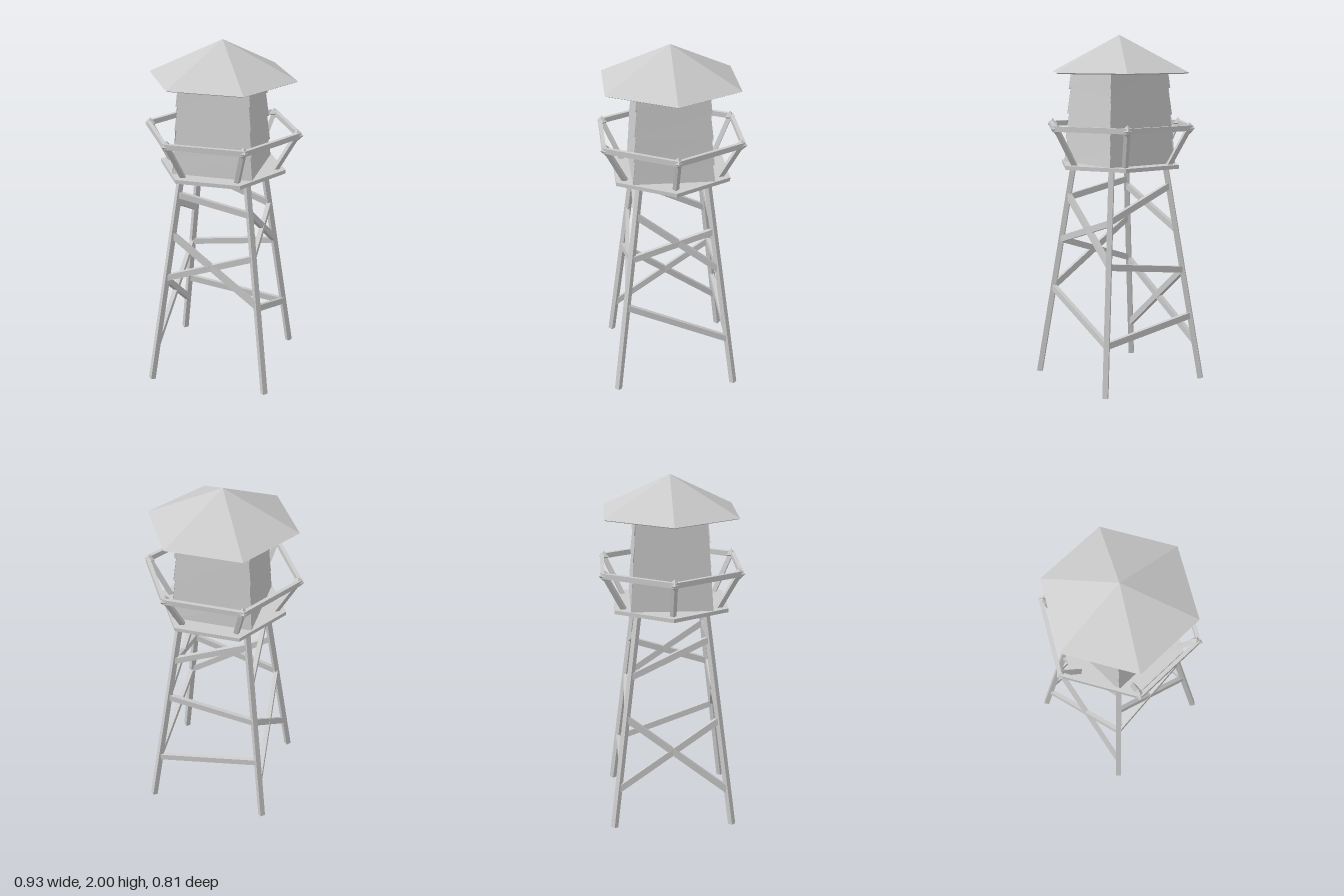
import * as THREE from 'three';

const material = new THREE.MeshStandardMaterial({ color: 0xcccccc, flatShading: true });
const V = (x, y, z) => new THREE.Vector3(x, y, z);

function add(parent, geometry, name) {
  const mesh = new THREE.Mesh(geometry, material);
  mesh.name = name;
  parent.add(mesh);
  return mesh;
}

// Square beam from a to b, with one side turned towards "out"
function beam(parent, a, b, w, h, out, name) {
  const dir = b.clone().sub(a);
  const geo = new THREE.BoxGeometry(w, h, dir.length());
  dir.normalize();
  const side = out.clone().addScaledVector(dir, -out.dot(dir)).normalize();
  const up = dir.clone().cross(side);
  geo.applyMatrix4(new THREE.Matrix4().makeBasis(side, up, dir));
  const mid = a.clone().add(b).multiplyScalar(0.5);
  return add(parent, geo.translate(mid.x, mid.y, mid.z), name);
}

// Distance of the leg centres from the axis at height y
const legAt = (y) => 0.342 - 0.121 * y;
// Half width of the tapering cabin at height y
const cabinAt = (y) => 0.226 - 0.05 * (y - 1.26);

// Board with slanted edges; lo and hi hold the left and right edge heights
function board(parent, lo, hi, name) {
  const geo = new THREE.BoxGeometry(2, 1, 1);
  const p = geo.attributes.position;
  for (let i = 0; i < p.count; i++) {
    const right = p.getX(i) > 0 ? 1 : 0;
    const top = p.getY(i) > 0;
    const y = (top ? hi : lo)[right];
    const half = cabinAt(y) + (top ? -0.004 : 0.004);
    const z = p.getZ(i) > 0 ? half : half - 0.03;
    p.setXYZ(i, p.getX(i) * (z + 0.001), y, z);
  }
  geo.computeVertexNormals();
  return add(parent, geo, name);
}

export function createModel() {
  const tower = new THREE.Group();
  tower.name = 'watchtower';

  // Four splayed legs
  const legs = new THREE.Group();
  legs.name = 'legs';
  for (const sx of [-1, 1]) for (const sz of [-1, 1]) {
    const at = (y) => V(sx * legAt(y), y, sz * legAt(y));
    beam(legs, at(0.004), at(1.255), 0.03, 0.03, V(sx, 0, sz), 'leg');
  }
  tower.add(legs);

  // Uneven braces: height at the left and right leg as seen from outside
  const braces = {
    front: [[1.14, 1.06], [0.9, 0.53], [0.64, 0.81]],
    right: [[1.07, 0.73], [0.81, 0.96], [0.52, 0.29]],
    back: [[0.97, 1.14], [0.72, 0.65], [0.29, 0.38]],
    left: [[0.89, 1.1], [0.23, 0.63], [0.65, 0.21]],
  };
  Object.entries(braces).forEach(([side, list], i) => {
    const group = new THREE.Group();
    group.name = side + 'Braces';
    group.rotation.y = i * Math.PI / 2;
    for (const [l, r] of list) {
      beam(group, V(-legAt(l), l, legAt(l)), V(legAt(r), r, legAt(r)), 0.025, 0.036, V(0, 0, 1), 'brace');
    }
    tower.add(group);
  });

  // Hexagonal platform with corners on the x axis
  const deck = new THREE.CylinderGeometry(0.37, 0.37, 0.022, 6, 1, false, Math.PI / 2);
  add(tower, deck.translate(0, 1.26, 0), 'platform');

  // Railing: leaning posts, corner caps and rails
  const railing = new THREE.Group();
  railing.name = 'railing';
  const ring = (i, r, y) => V(r * Math.cos(i * Math.PI / 3), y, r * Math.sin(i * Math.PI / 3));
  for (let i = 0; i < 6; i++) {
    const out = ring(i, 1, 0);
    const tangent = V(-out.z, 0, out.x);
    beam(railing, ring(i, 0.305, 1.26), ring(i, 0.432, 1.485), 0.026, 0.026, out.clone().add(tangent), 'post');
    const cap = new THREE.OctahedronGeometry(0.034).rotateY(-i * Math.PI / 3);
    const c = ring(i, 0.432, 1.481);
    add(railing, cap.translate(c.x, c.y, c.z), 'postCap');
    beam(railing, ring(i, 0.443, 1.482), ring(i + 1, 0.443, 1.482), 0.022, 0.03, ring(i + 0.5, 1, 0), 'rail');
  }
  tower.add(railing);

  // Cabin walls made of crooked boards; each pair is a seam's left and right height
  const seams = {
    front: [[1.38, 1.41], [1.52, 1.55], [1.655, 1.69]],
    right: [[1.4, 1.37], [1.55, 1.52], [1.7, 1.66]],
    back: [[1.37, 1.41], [1.51, 1.55], [1.65, 1.7]],
    left: [],
  };
  Object.entries(seams).forEach(([side, list], i) => {
    const wall = new THREE.Group();
    wall.name = side + 'Wall';
    wall.rotation.y = i * Math.PI / 2;
    const edges = [[1.265, 1.265], ...list, [1.845, 1.845]];
    for (let k = 0; k + 1 < edges.length; k++) board(wall, edges[k], edges[k + 1], 'wallBoard');
    tower.add(wall);
  });

  // Hollow six-sided roof
  const profile = [[0, 1.985], [0.415, 1.784], [0.428, 1.79], [0, 2]].map(([r, y]) => new THREE.Vector2(r, y));
  add(tower, new THREE.LatheGeometry(profile, 6, Math.PI / 2), 'roof');

  return tower;
}
